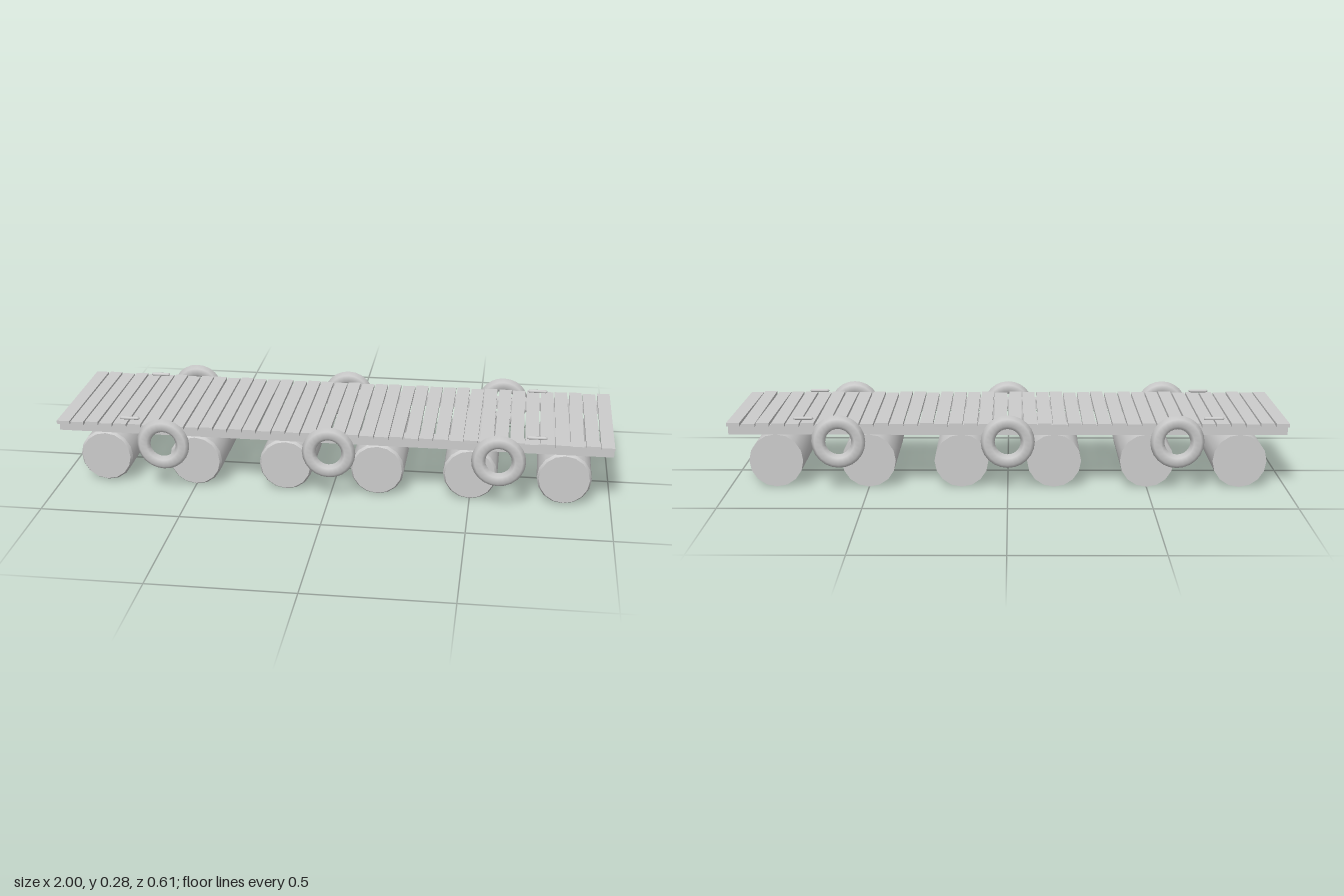
import * as THREE from 'three';
import { toCreasedNormals } from 'three/addons/utils/BufferGeometryUtils.js';

const grey = new THREE.MeshStandardMaterial({ color: 0xcccccc });

export function createModel() {
  const model = new THREE.Group();
  const add = (name, geometry, x, y, z) => {
    const mesh = new THREE.Mesh(geometry, grey);
    mesh.name = name;
    mesh.position.set(x, y, z);
    model.add(mesh);
    return mesh;
  };

  // Deck planks, each very slightly tilted
  const count = 38, pitch = 2 / count, width = 0.047;
  const plankGeo = new THREE.BoxGeometry(width, 0.012, 0.532);
  for (let i = 0; i < count; i++) {
    const x = -1 + width / 2 + (i * (2 - width)) / (count - 1);
    const plank = add('deckPlank', plankGeo, x, 0.238, 0);
    plank.rotation.x = 0.0075 * Math.sin(i * 2.4);
    plank.rotation.y = 0.004 * Math.sin(i * 3.7 + 1);
  }

  // Long beams under the deck
  const beamGeo = new THREE.BoxGeometry(2, 0.036, 0.048);
  for (const s of [-1, 1]) add('beam', beamGeo, 0, 0.213, s * 0.208);

  // Float drums with a bevelled front rim
  const profile = [[0, -0.225], [0.097, -0.225], [0.097, 0.213], [0.09, 0.225], [0, 0.225]]
    .map(([r, h]) => new THREE.Vector2(r, h));
  const drumGeo = toCreasedNormals(new THREE.LatheGeometry(profile, 16), 0.5);
  drumGeo.rotateX(Math.PI / 2);
  for (let i = 0; i < 6; i++) add('floatDrum', drumGeo, -0.833 + i * 0.3332, 0.0975, 0);

  // Flattened bumper rings along both sides
  const ringGeo = new THREE.TorusGeometry(0.071, 0.025, 6, 24).scale(1, 1, 0.62);
  // Mooring cleats near the deck corners
  const cleatGeo = new THREE.CapsuleGeometry(0.0085, 0.056, 3, 8)
    .rotateZ(Math.PI / 2).scale(1, 0.7, 1);
  for (const s of [-1, 1]) {
    for (const x of [-0.6, 0, 0.6]) add('bumperRing', ringGeo, x, 0.185, s * 0.292);
    for (const x of [-0.735, 0.73]) add('cleat', cleatGeo, x, 0.256, s * 0.234);
  }
  return model;
}
